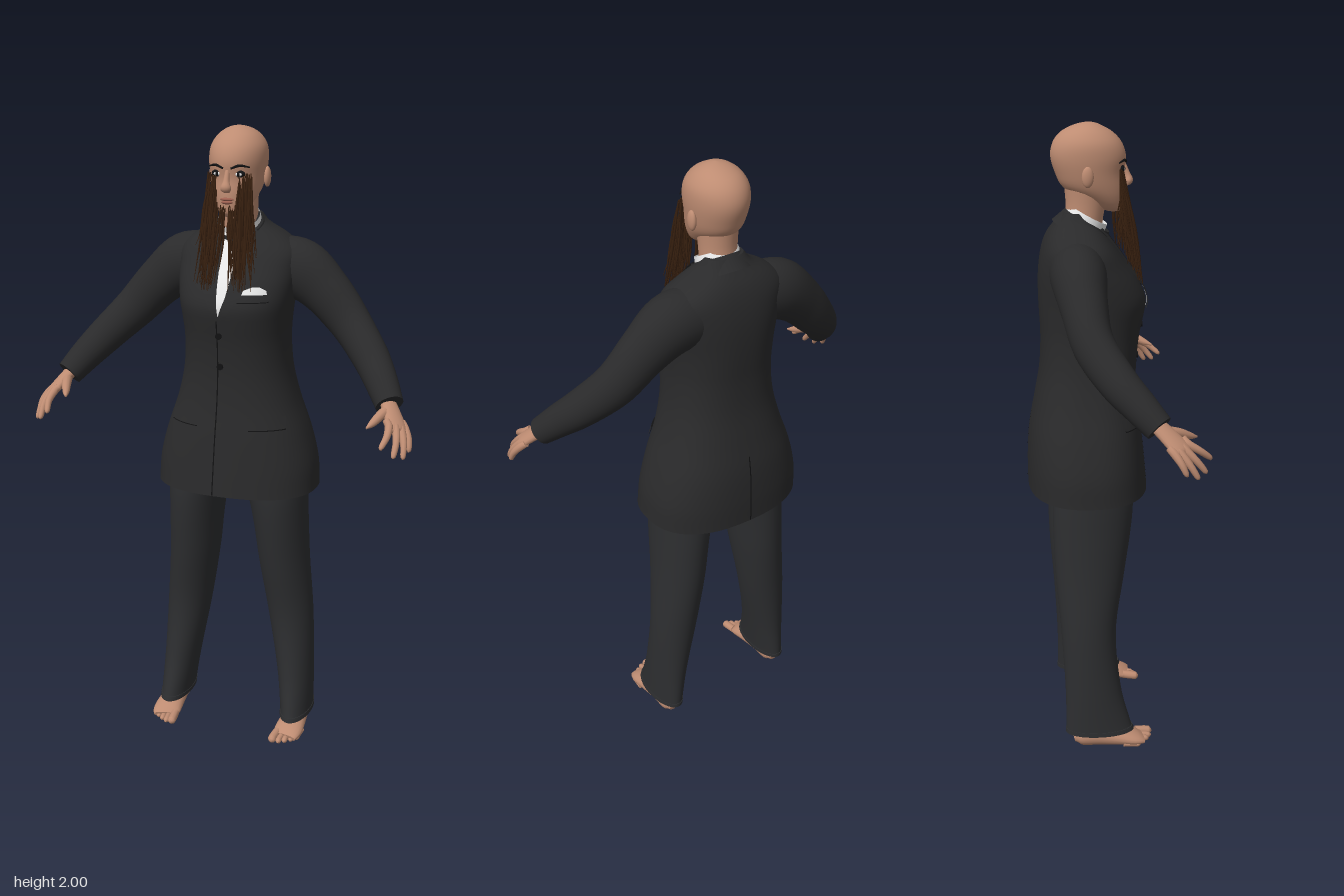
import * as THREE from 'three';
import { mergeGeometries } from 'three/addons/utils/BufferGeometryUtils.js';

const mat = (name, color, side = THREE.FrontSide) => {
  const m = new THREE.MeshStandardMaterial({ color, side });
  m.name = name;
  return m;
};
const V = (x, y, z) => new THREE.Vector3(x, y, z);

// Smooth interpolation of rows; the first column is the key.
function at(rows, t) {
  let i = 0;
  while (i < rows.length - 2 && t > rows[i + 1][0]) i++;
  const a = rows[i], b = rows[i + 1], p = rows[Math.max(i - 1, 0)], q = rows[Math.min(i + 2, rows.length - 1)];
  const h = b[0] - a[0], k = (t - a[0]) / h, k2 = k * k, k3 = k2 * k;
  return a.map((_, c) => {
    const m0 = (b[c] - p[c]) / (b[0] - p[0]) * h, m1 = (q[c] - a[c]) / (q[0] - a[0]) * h;
    return (2 * k3 - 3 * k2 + 1) * a[c] + (k3 - 2 * k2 + k) * m0 + (3 * k2 - 2 * k3) * b[c] + (k3 - k2) * m1;
  });
}

// Skin between rings of points, optionally closed around and capped.
function loft(rings, closed = true) {
  const n = rings[0].length, pos = [], idx = [];
  rings.forEach(r => r.forEach(p => pos.push(p.x, p.y, p.z)));
  for (let i = 0; i < rings.length - 1; i++) {
    for (let j = 0; j < (closed ? n : n - 1); j++) {
      const a = i * n + j, b = i * n + (j + 1) % n;
      idx.push(a, a + n, b, b, a + n, b + n);
    }
  }
  if (closed) [rings[0], rings[rings.length - 1]].forEach((r, end) => {
    const base = pos.length / 3, c = V(0, 0, 0);
    r.forEach(p => { c.addScaledVector(p, 1 / n); pos.push(p.x, p.y, p.z); });
    pos.push(c.x, c.y, c.z);
    for (let j = 0; j < n; j++) {
      const a = base + j, b = base + (j + 1) % n;
      idx.push(base + n, end ? b : a, end ? a : b);
    }
  });
  const g = new THREE.BufferGeometry();
  g.setAttribute('position', new THREE.Float32BufferAttribute(pos, 3));
  g.setIndex(idx);
  g.computeVertexNormals();
  return g;
}

// Upright body from rows [y, halfWidth, zBack, zFront, centreX].
function upright(rows, steps, sides, power = 2) {
  const rings = [], y0 = rows[0][0], y1 = rows[rows.length - 1][0];
  const f = v => Math.sign(v) * Math.abs(v) ** (2 / power);
  for (let i = 0; i <= steps; i++) {
    const [y, w, zb, zf, cx = 0] = at(rows, y0 + (y1 - y0) * (1 - Math.cos(Math.PI * i / steps)) / 2);
    rings.push(Array.from({ length: sides }, (_, j) => {
      const a = j / sides * Math.PI * 2;
      return V(cx + w * f(Math.cos(a)), y, (zb + zf) / 2 + (zf - zb) / 2 * f(Math.sin(a)));
    }));
  }
  return loft(rings);
}

// Limb along rows [x, y, z, radiusU, radiusV]; U leans towards ref.
function limb(points, steps = 10, sides = 10, ref = V(0, 1, 0)) {
  const rows = points.map((p, i) => [i, p[0], p[1], p[2], p[3], p[4] ?? p[3]]), rings = [], end = rows.length - 1;
  for (let i = 0; i <= steps; i++) {
    const t = i / steps * end, r = at(rows, t);
    const a = at(rows, Math.max(t - 0.05, 0)), b = at(rows, Math.min(t + 0.05, end));
    const d = V(b[1] - a[1], b[2] - a[2], b[3] - a[3]).normalize();
    const u = ref.clone().addScaledVector(d, -ref.dot(d)).normalize(), v = u.clone().cross(d);
    rings.push(Array.from({ length: sides }, (_, j) => {
      const q = j / sides * Math.PI * 2;
      return V(r[1], r[2], r[3]).addScaledVector(u, r[4] * Math.cos(q)).addScaledVector(v, r[5] * Math.sin(q));
    }));
  }
  return loft(rings);
}

const COAT = [[0.86, 0.265, -0.25, 0.13], [0.95, 0.258, -0.25, 0.122], [1.05, 0.232, -0.243, 0.112], [1.15, 0.197, -0.225, 0.099],
  [1.25, 0.173, -0.208, 0.095], [1.35, 0.166, -0.203, 0.104], [1.42, 0.171, -0.206, 0.118], [1.47, 0.178, -0.208, 0.124],
  [1.53, 0.187, -0.208, 0.097], [1.58, 0.192, -0.204, 0.062], [1.63, 0.19, -0.194, 0.027], [1.67, 0.145, -0.178, -0.003],
  [1.705, 0.085, -0.153, -0.03], [1.735, 0.06, -0.13, -0.055]];
const POWER = 2.4;

// Depth of the coat surface at x, y (side 1 front, -1 back).
function coatZ(x, y, side = 1) {
  const [, w, zb, zf] = at(COAT, y);
  return (zb + zf) / 2 + side * (zf - zb) / 2 * Math.max(0, 1 - Math.abs(x / w) ** POWER) ** (1 / POWER);
}

// Thin cloth panel lying on the coat, rows [y, x0, x1] from bottom to top.
function panel(rows, lift, side = 1, steps = 16) {
  const rings = [], y0 = rows[0][0], y1 = rows[rows.length - 1][0];
  for (let i = 0; i <= steps; i++) {
    const y = y0 + (y1 - y0) * i / steps;
    let k = 0;
    while (k < rows.length - 2 && y > rows[k + 1][0]) k++;
    const t = (y - rows[k][0]) / (rows[k + 1][0] - rows[k][0]);
    const x0 = THREE.MathUtils.lerp(rows[k][1], rows[k + 1][1], t), x1 = THREE.MathUtils.lerp(rows[k][2], rows[k + 1][2], t);
    rings.push(Array.from({ length: 9 }, (_, j) => {
      const x = x0 + (x1 - x0) * (8 - j) / 8;
      return V(x, y, coatZ(x, y, side) + side * lift);
    }));
  }
  return loft(rings, false);
}

export function createModel() {
  const root = new THREE.Group();
  const skin = mat('skin', 0xbe8c72), coat = mat('coat cloth', 0x2a2a2b, THREE.DoubleSide), trouser = mat('trouser cloth', 0x2d2e30);
  const white = mat('white linen', 0xe8e8e8, THREE.DoubleSide), seam = mat('black', 0x111112, THREE.DoubleSide);
  const hair = mat('beard hair', 0x38200f), lip = mat('lips', 0x9c6050);
  const add = (name, geo, material, parent = root) => {
    const m = new THREE.Mesh(geo, material);
    m.name = name;
    parent.add(m);
    return m;
  };
  const ball = (name, x, y, z, a, b, c, material) => add(name, new THREE.SphereGeometry(1, 20, 14).scale(a, b, c).translate(x, y, z), material);

  // Head and neck
  add('head', upright([[1.735, 0.018, 0.005, 0.045], [1.75, 0.04, -0.035, 0.058], [1.78, 0.06, -0.085, 0.062], [1.81, 0.073, -0.13, 0.062],
    [1.85, 0.082, -0.151, 0.058], [1.9, 0.088, -0.165, 0.063], [1.94, 0.084, -0.158, 0.05], [1.97, 0.066, -0.135, 0.023],
    [1.988, 0.043, -0.102, -0.008], [1.997, 0.02, -0.072, -0.03], [2.0, 0.001, -0.05, -0.048]], 40, 40), skin);
  add('neck', upright([[1.62, 0.062, -0.14, -0.01], [1.7, 0.057, -0.125, -0.008], [1.75, 0.056, -0.12, 0], [1.82, 0.06, -0.125, 0.01]], 12, 28), skin);
  add('nose', limb([[0, 1.875, 0.056, 0.007, 0.007], [0, 1.845, 0.067, 0.009, 0.01], [0, 1.825, 0.071, 0.014, 0.017], [0, 1.812, 0.064, 0.004, 0.01]],
    12, 12, V(0, 0, 1)), skin);
  ball('upperLip', 0, 1.791, 0.062, 0.022, 0.005, 0.007, lip);
  ball('lowerLip', 0, 1.782, 0.061, 0.018, 0.006, 0.008, lip);

  // Coat body, lapels and fastenings
  add('coatBody', upright(COAT, 60, 72, POWER), coat);
  add('shirtFront', panel([[1.44, -0.014, -0.008], [1.5, -0.02, 0.012], [1.6, -0.026, 0.026], [1.68, -0.035, 0.035]], 0.004), white);
  add('frontSeam', panel([[0.862, -0.03, -0.026], [1.44, -0.016, -0.012]], 0.002, 1, 40), seam);
  add('backVent', panel([[0.862, -0.002, 0.002], [1.1, -0.002, 0.002]], 0.002, -1, 24), seam);
  add('pocketSquare', panel([[1.508, 0.06, 0.135], [1.525, 0.065, 0.13], [1.535, 0.09, 0.11]], 0.005), white);
  add('breastPocket', panel([[1.492, 0.05, 0.14], [1.513, 0.05, 0.145]], 0.008), coat);
  add('breastPocketSeam', panel([[1.489, 0.05, 0.14], [1.493, 0.05, 0.14]], 0.006), seam);
  for (const y of [1.28, 1.38]) {
    add('button', new THREE.CylinderGeometry(0.01, 0.01, 0.006, 16).rotateX(Math.PI / 2).translate(-0.01, y, coatZ(0, y) + 0.003), seam);
  }
  const collar = (name, r0, r1, h, y, m) => {
    const c = add(name, new THREE.CylinderGeometry(r0, r1, h, 32, 1, true), m);
    c.position.set(0, y, -0.066);
    c.rotation.x = 0.5;
  };
  collar('shirtCollar', 0.066, 0.074, 0.06, 1.7, white);
  collar('coatCollar', 0.076, 0.096, 0.05, 1.686, coat);

  for (const s of [1, -1]) {
    const side = s > 0 ? 'left' : 'right';
    const mir = rows => rows.map(([x, ...r]) => [x * s, ...r]);
    // Face details
    ball(side + 'Ear', s * 0.088, 1.848, -0.06, 0.011, 0.031, 0.018, skin);
    ball(side + 'EyeRim', s * 0.034, 1.866, 0.047, 0.019, 0.011, 0.008, seam);
    ball(side + 'Eye', s * 0.034, 1.865, 0.049, 0.013, 0.007, 0.008, white);
    ball(side + 'Iris', s * 0.034, 1.865, 0.053, 0.006, 0.006, 0.005, seam);
    add(side + 'Brow', limb(mir([[0.012, 1.882, 0.062, 0.003], [0.038, 1.891, 0.055, 0.004], [0.064, 1.885, 0.036, 0.002]]), 10, 8), seam);

    // Lapel and hip pocket
    const edges = rows => rows.map(([y, a, b]) => s > 0 ? [y, a, b] : [y, -b, -a]);
    add(side + 'Lapel', panel(edges([[1.43, 0.004, 0.012], [1.5, 0.014, 0.052], [1.575, 0.022, 0.095], [1.6, 0.025, 0.075], [1.69, 0.034, 0.07]]), 0.008), coat);
    add(side + 'PocketFlap', panel(edges([[1.085, 0.085, 0.19], [1.125, 0.08, 0.185]]), 0.009), coat);
    add(side + 'PocketSeam', panel(edges([[1.081, 0.085, 0.19], [1.086, 0.085, 0.19]]), 0.006), seam);

    // Sleeve
    add(side + 'Sleeve', limb(mir([[0.1, 1.575, -0.095, 0.09, 0.085], [0.19, 1.562, -0.095, 0.095, 0.083], [0.275, 1.5, -0.088, 0.079, 0.07],
      [0.36, 1.41, -0.068, 0.068, 0.06], [0.44, 1.325, -0.008, 0.059, 0.056], [0.49, 1.265, 0.05, 0.051, 0.05], [0.528, 1.213, 0.1, 0.043, 0.043]]), 36, 28), coat);

    // Hand: palm, four fingers and thumb
    const hand = new THREE.Group();
    hand.name = side + 'Hand';
    root.add(hand);
    add('palm', limb(mir([[0.515, 1.228, 0.085, 0.024, 0.02], [0.537, 1.2, 0.118, 0.03, 0.018], [0.566, 1.162, 0.157, 0.034, 0.014],
      [0.574, 1.152, 0.166, 0.026, 0.007]]), 12, 16, V(-0.65 * s, 0.15, 0.75)), skin, hand);
    [[0.546, 1.17, 0.18, 0.54, 1.118, 0.248], [0.564, 1.162, 0.167, 0.573, 1.09, 0.23], [0.577, 1.157, 0.152, 0.596, 1.082, 0.205],
      [0.585, 1.156, 0.136, 0.606, 1.095, 0.172]].forEach(([x, y, z, tx, ty, tz]) => {
      add('finger', limb(mir([[x - 0.012, y + 0.014, z - 0.014, 0.011], [x, y, z, 0.0125], [(x + tx) / 2 + 0.005, (y + ty) / 2 + 0.005, (z + tz) / 2, 0.0105],
        [tx, ty + 0.008, tz - 0.005, 0.008], [tx, ty, tz, 0.002]]), 14, 10), skin, hand);
    });
    add('thumb', limb(mir([[0.53, 1.205, 0.11, 0.017], [0.513, 1.193, 0.155, 0.015], [0.498, 1.178, 0.19, 0.011], [0.487, 1.17, 0.215, 0.003]]), 12, 10), skin, hand);

    // Trouser leg
    add(side + 'TrouserLeg', upright([[0.05, 0.05, -0.15, 0.072, 0.218], [0.08, 0.051, -0.15, 0.062, 0.216], [0.2, 0.059, -0.15, 0.032, 0.205],
      [0.4, 0.074, -0.16, 0.017, 0.182], [0.6, 0.082, -0.175, 0.046, 0.158], [0.75, 0.088, -0.18, 0.068, 0.146], [0.85, 0.098, -0.18, 0.076, 0.134],
      [0.95, 0.118, -0.18, 0.07, 0.11]].map(r => [...r.slice(0, 4), r[4] * s]), 36, 32), trouser);
    add(side + 'TrouserHem', upright([[0.052, 0.052, -0.152, 0.074, 0.218 * s], [0.066, 0.052, -0.152, 0.07, 0.217 * s]], 2, 32), trouser);

    // Foot and toes
    const foot = new THREE.Group();
    foot.name = side + 'Foot';
    root.add(foot);
    add('footBody', limb(mir([[0.22, 0.03, -0.125, 0.016, 0.018], [0.22, 0.036, -0.1, 0.034, 0.034], [0.22, 0.037, -0.04, 0.037, 0.037],
      [0.22, 0.031, 0.02, 0.031, 0.044], [0.219, 0.022, 0.07, 0.022, 0.048], [0.214, 0.014, 0.1, 0.012, 0.042]]), 20, 20), skin, foot);
    [[0.181, 0.138, 0.014], [0.202, 0.134, 0.01], [0.22, 0.124, 0.0095], [0.238, 0.11, 0.009], [0.254, 0.092, 0.0085]].forEach(([x, z, r]) => {
      add('toe', limb(mir([[x + 0.004, r + 0.006, z - 0.055, r], [x, r + 0.002, z - 0.02, r], [x, r, z - 0.007, r * 0.9], [x, r, z, r * 0.3]]), 10, 10), skin, foot);
    });
  }

  // Beard of long thin locks hanging from the cheeks, lip and chin
  let seed = 7;
  const rnd = (a, b) => {
    seed = (seed * 16807) % 2147483647;
    return a + (b - a) * seed / 2147483647;
  };
  const locks = [];
  for (let i = 0; i < 150; i++) {
    const s = i % 2 ? 1 : -1, cheek = i % 5 < 3;
    const x = cheek ? rnd(0.034, 0.07) : rnd(0.004, 0.042), y = cheek ? rnd(0, 1) ** 1.5 * -0.1 + 1.868 : rnd(1.75, 1.775);
    const z = cheek ? 0.068 - x * 0.45 : 0.062;
    const ex = cheek ? x + rnd(-0.01, 0.035) : x * 0.9 + rnd(0.012, 0.03), ey = 1.52 + rnd(0, 1) ** 1.4 * 0.15;
    const ez = Math.max(rnd(0.03, 0.09), coatZ(ex * s, ey) + 0.012);
    const mx = (x + ex) / 2 + rnd(-0.008, 0.008), my = (y + ey) / 2;
    const mz = Math.max((z + ez) / 2 + rnd(-0.012, 0.012), my < 1.72 ? coatZ(mx * s, my) + 0.012 : 0);
    const r = rnd(0.0022, 0.0042);
    locks.push(limb([[x * s, y, z, r * 0.6], [mx * s, my, mz, r], [ex * s, ey, ez, 0.0006]], 8, 5, V(0, 0, 1)));
  }
  add('beard', mergeGeometries(locks), hair);

  return root;
}
